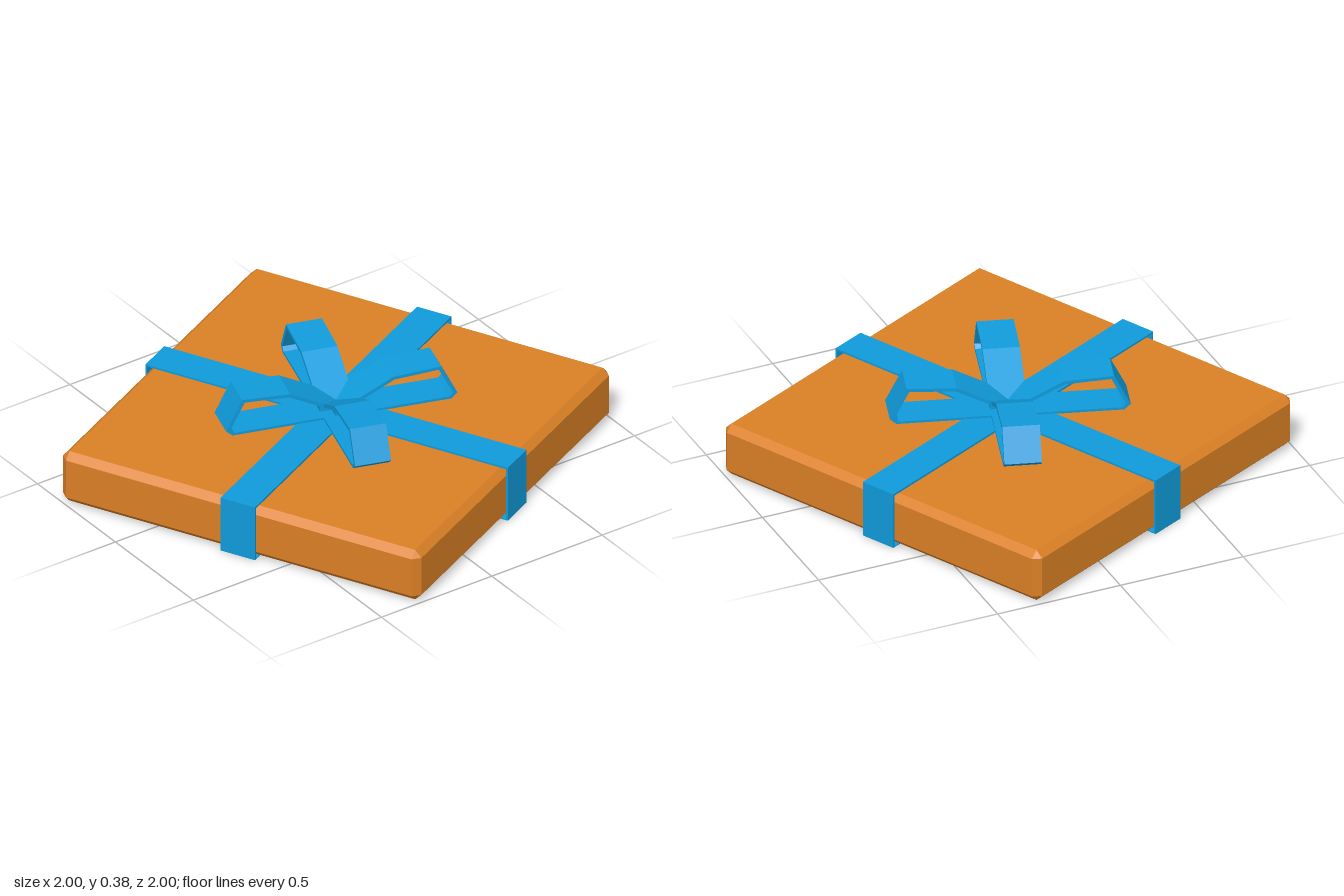
import * as THREE from 'three';
import { ConvexGeometry } from 'three/addons/geometries/ConvexGeometry.js';

const polygon = (pts) => pts.map(([x, y]) => new THREE.Vector2(x, y));

// Flat band: an outline with a hole, given a width and centred on z = 0
function band(outer, inner, width) {
  const shape = new THREE.Shape(polygon(outer));
  shape.holes.push(new THREE.Path(polygon(inner)));
  const geo = new THREE.ExtrudeGeometry(shape, { depth: width, bevelEnabled: false });
  return geo.translate(0, 0, -width / 2);
}

// Box with all edges cut off at 45 degrees
function chamferedBox(hx, hy, hz, c) {
  const pts = [];
  for (const x of [-1, 1]) for (const y of [-1, 1]) for (const z of [-1, 1]) {
    pts.push(
      new THREE.Vector3(x * hx, y * (hy - c), z * (hz - c)),
      new THREE.Vector3(x * (hx - c), y * hy, z * (hz - c)),
      new THREE.Vector3(x * (hx - c), y * (hy - c), z * hz));
  }
  return new ConvexGeometry(pts);
}

const rectangle = (h, y0, y1) => [[-h, y0], [h, y0], [h, y1], [-h, y1]];

export function createModel() {
  const orange = new THREE.MeshStandardMaterial({ color: 0xdb8025 });
  orange.name = 'orange paper';
  const blue = new THREE.MeshStandardMaterial({ color: 0x109bdb });
  blue.name = 'blue ribbon';

  const model = new THREE.Group();
  model.name = 'giftBox';
  const add = (parent, name, geo, mat) => {
    const mesh = new THREE.Mesh(geo, mat);
    mesh.name = name;
    parent.add(mesh);
    return mesh;
  };

  // Wrapped box and two crossing ribbons, turned together
  const parcel = new THREE.Group();
  parcel.name = 'parcel';
  parcel.rotation.y = THREE.MathUtils.degToRad(26.3);
  model.add(parcel);
  add(parcel, 'box', chamferedBox(0.755, 0.1075, 0.755, 0.027), orange).position.y = 0.1125;

  const ribbonGeo = band(rectangle(0.763, 0, 0.23), rectangle(0.756, 0.004, 0.222), 0.145);
  for (let i = 0; i < 2; i++) {
    add(parcel, 'ribbon', ribbonGeo, blue).rotation.y = i * Math.PI / 2;
  }

  // Bow of four folded loops
  const bow = new THREE.Group();
  bow.name = 'bow';
  bow.rotation.y = THREE.MathUtils.degToRad(-17.4);
  model.add(bow);
  const loopGeo = band(
    [[0, 0.228], [0.425, 0.228], [0.45, 0.25], [0.387, 0.375], [0.2, 0.365], [0, 0.262]],
    [[0.025, 0.238], [0.418, 0.238], [0.433, 0.252], [0.377, 0.362], [0.205, 0.352], [0.025, 0.26]],
    0.14);
  for (let i = 0; i < 4; i++) {
    add(bow, 'bowLoop', loopGeo, blue).rotation.y = i * Math.PI / 2;
  }
  return model;
}
